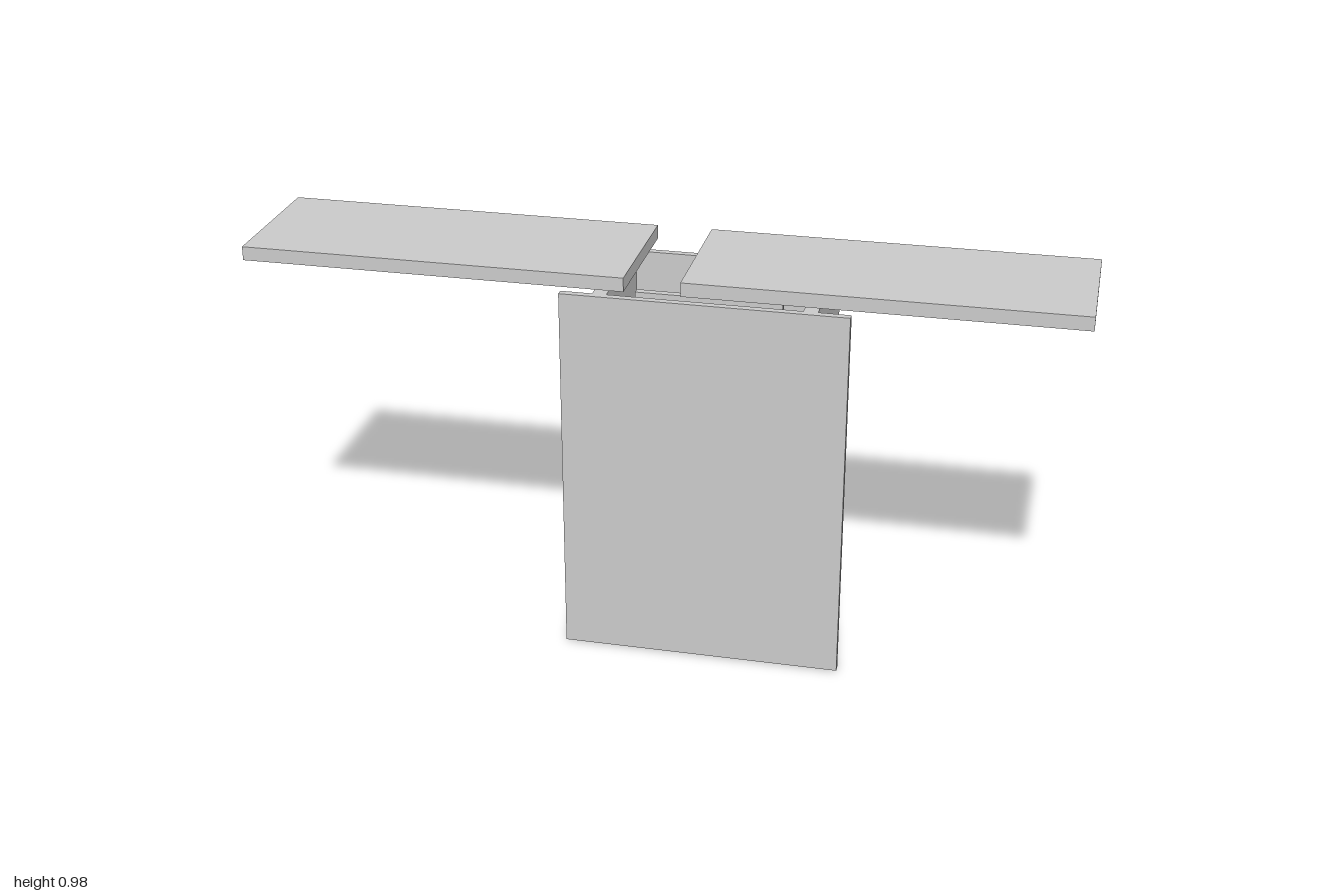
import * as THREE from 'three';

const material = new THREE.MeshStandardMaterial({ color: 0xcccccc, flatShading: true });

// Box given by its extents along each axis
function panel(name, [x0, x1], [y0, y1], [z0, z1]) {
  const mesh = new THREE.Mesh(new THREE.BoxGeometry(x1 - x0, y1 - y0, z1 - z0), material);
  mesh.position.set((x0 + x1) / 2, (y0 + y1) / 2, (z0 + z1) / 2);
  mesh.name = name;
  return mesh;
}

export function createModel() {
  const model = new THREE.Group();
  model.name = 'cabinet';

  // Two top boards with a gap between them
  for (const side of [-1, 1]) {
    const span = side < 0 ? [-1, -0.067] : [0.067, 1];
    model.add(panel(side < 0 ? 'rightTopBoard' : 'leftTopBoard', span, [0.945, 0.979], [-0.188, 0.172]));
  }

  // Cabinet body, mirrored about its own centre line
  const cx = 0.122;
  const body = new THREE.Group();
  body.name = 'cabinetBody';
  body.position.x = cx;
  model.add(body);

  body.add(panel('frontPanel', [-0.34, 0.34], [0.004, 0.934], [0.17, 0.188]));
  for (const side of [-1, 1]) {
    const span = side < 0 ? [-0.264, -0.23] : [0.23, 0.264];
    body.add(panel(side < 0 ? 'rightSidePanel' : 'leftSidePanel', span, [0, 0.934], [-0.188, 0.17]));
  }
  body.add(panel('backPanel', [-0.23, 0.23], [0.012, 0.93], [-0.148, -0.13]));

  // Parts inside the body
  body.add(panel('innerPanel', [-0.174, 0.174], [0.02, 0.925], [0.1, 0.118]));
  body.add(panel('innerBlock', [-0.067, 0.067], [0.4, 0.55], [-0.13, -0.068]));

  return model;
}
